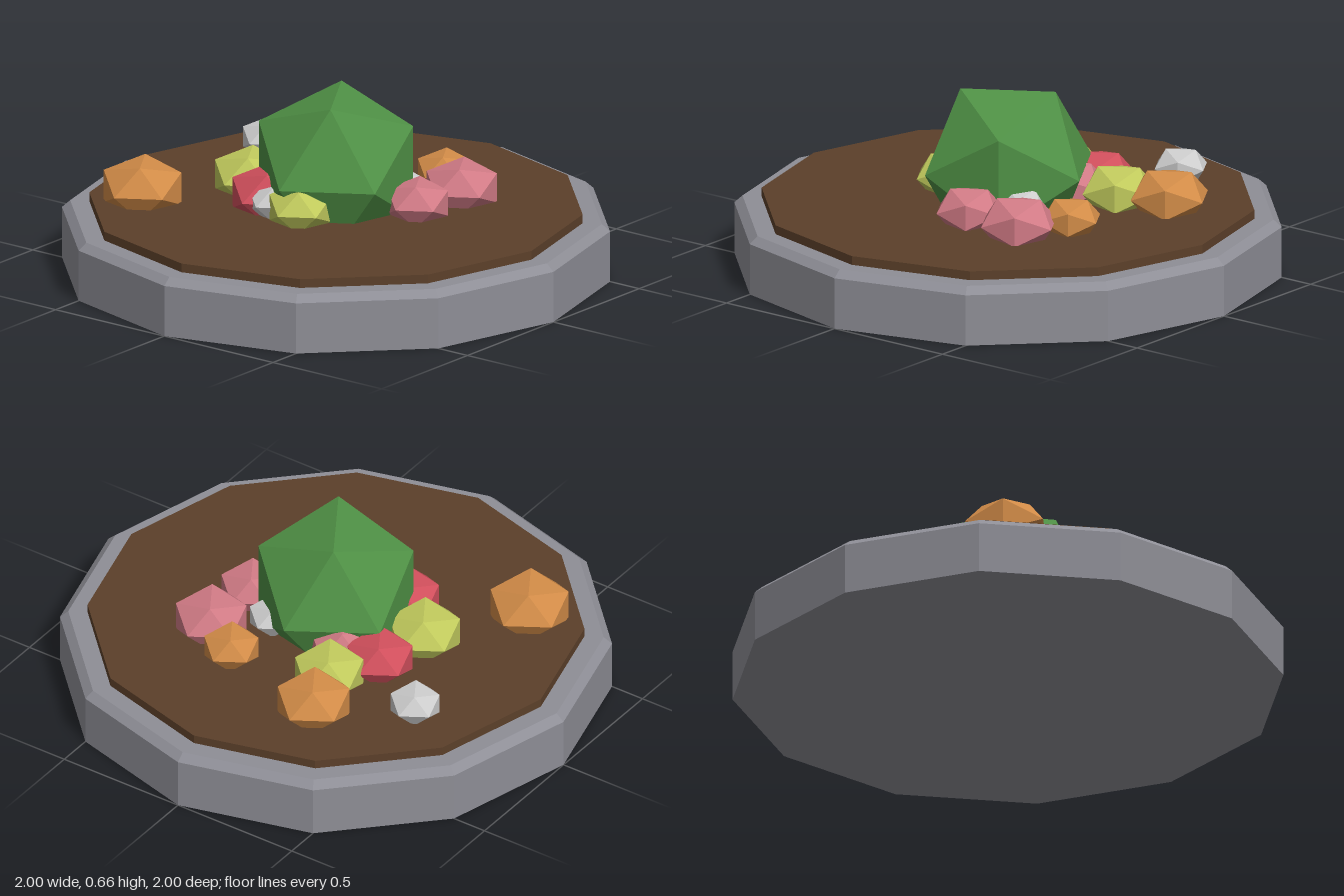
import * as THREE from 'three';

const mat = (name, color) => {
  const m = new THREE.MeshStandardMaterial({ color, flatShading: true });
  m.name = name;
  return m;
};

export function createModel() {
  const model = new THREE.Group();
  model.name = 'flowerBed';

  const stone = mat('stone grey', 0x8e8e96);
  const soil = mat('soil brown', 0x5c402a);
  const green = mat('bush green', 0x4f9045);
  const orange = mat('orange', 0xd18b47);
  const yellow = mat('yellow green', 0xc0c95c);
  const red = mat('red', 0xd04f5c);
  const pink = mat('pink', 0xd07a85);
  const white = mat('white', 0xcccccc);

  // Stacked twelve-sided slabs: wall, bevelled rim and soil
  const slab = (name, material, rTop, rBottom, y0, y1, open = false) => {
    const geo = new THREE.CylinderGeometry(rTop, rBottom, y1 - y0, 12, 1, open);
    const mesh = new THREE.Mesh(geo, material);
    mesh.name = name;
    mesh.position.y = (y0 + y1) / 2;
    model.add(mesh);
  };
  slab('planterWall', stone, 1, 1, 0, 0.19);
  slab('planterRim', stone, 0.97, 1, 0.19, 0.217);
  slab('soil', soil, 0.9, 0.9, 0.2, 0.25);

  // Icosahedron turned so one corner points forward and its ring starts at +x
  const ball = new THREE.IcosahedronGeometry(1, 0);
  ball.rotateX(Math.atan(2 / (1 + Math.sqrt(5))));
  ball.rotateZ(Math.PI / 2);

  const addBall = (name, material, x, y, z, r, squash) => {
    const mesh = new THREE.Mesh(ball, material);
    mesh.name = name;
    mesh.position.set(x, y, z);
    mesh.scale.set(r, r * squash, r);
    model.add(mesh);
  };

  // Central bush
  addBall('bush', green, 0, 0.38, 0, 0.33, 1);

  // Flattened flowers scattered around it: colour, x, z, radius
  const flowers = [
    [orange, -0.57, 0.405, 0.166],
    [orange, -0.27, -0.53, 0.153],
    [orange, 0.165, -0.425, 0.115],
    [white, -0.58, -0.334, 0.104],
    [white, -0.1, 0.24, 0.1],
    [white, 0.15, -0.18, 0.1],
    [yellow, -0.21, -0.345, 0.145],
    [yellow, -0.35, 0.055, 0.152],
    [yellow, 0.03, 0.245, 0.132],
    [red, -0.31, -0.17, 0.14],
    [red, -0.165, 0.18, 0.157],
    [pink, 0.33, -0.315, 0.15],
    [pink, 0.317, -0.075, 0.13],
    [pink, -0.15, -0.17, 0.14],
  ];
  flowers.forEach(([material, x, z, r], i) =>
    addBall(`flower${i + 1}`, material, x, 0.3, z, r, 0.7));

  return model;
}
